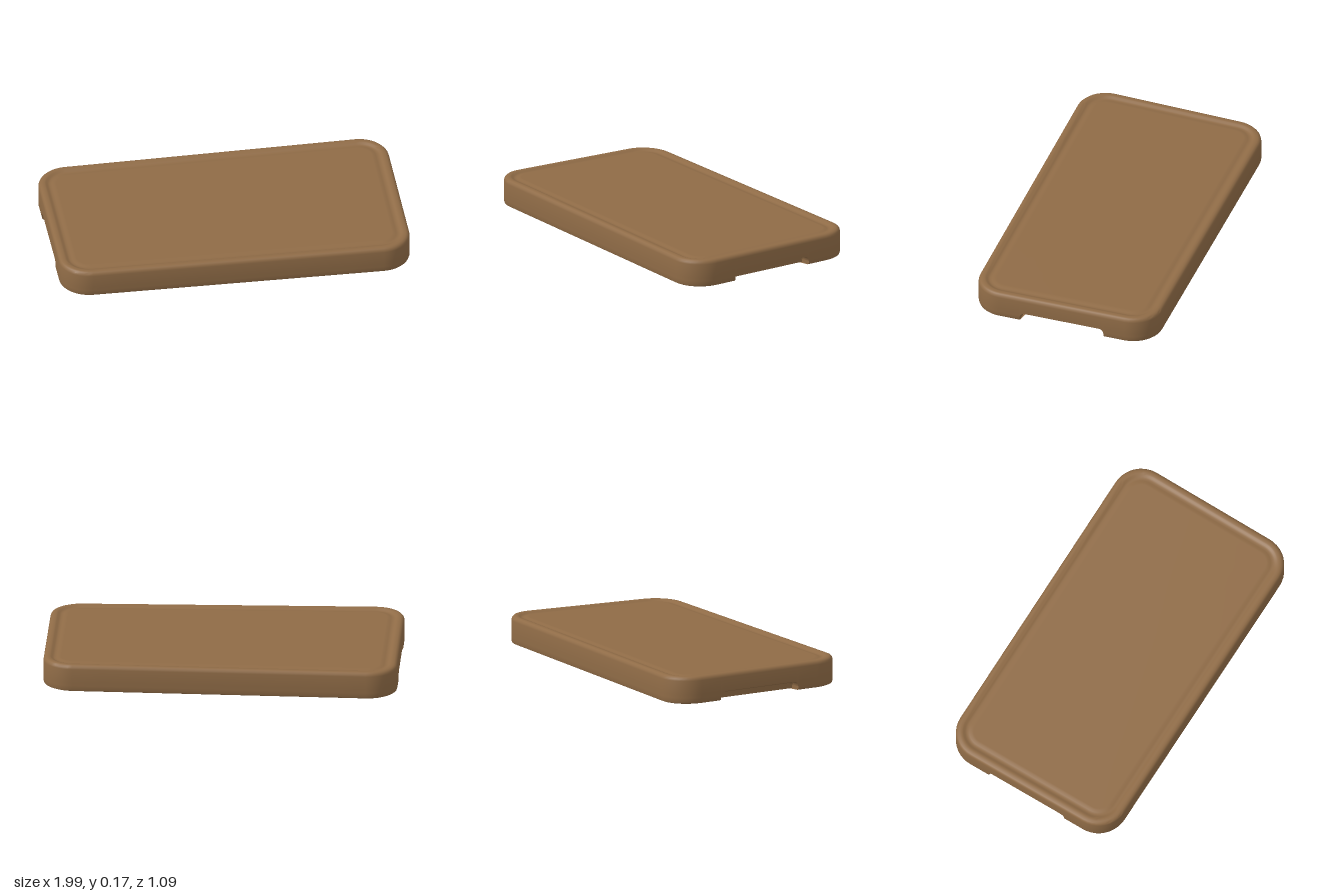
import * as THREE from 'three';
import { toCreasedNormals } from 'three/addons/utils/BufferGeometryUtils.js';

const HX = 0.997, HZ = 0.543, R = 0.17; // half sizes and corner radius
const NOTCH = 0.25, NOTCH_H = 0.052, NOTCH_R = 0.03; // finger notch half width, height, corner

// Slight twist of the wooden slab
const twist = (x, y, z) => [x, y + 0.012 - 0.015 * x * z, z];

// Notch ceiling height, rounded at both ends
function notchHeight(z) {
  const k = Math.max(0, NOTCH_R - (NOTCH - Math.abs(z)));
  return NOTCH_H - NOTCH_R + Math.sqrt(Math.max(0, NOTCH_R * NOTCH_R - k * k));
}

// Plan outline as columns: position, outward direction and notch height (0 = none)
function outline() {
  const half = [];
  const add = (x, z, nx, nz, h = 0) => half.push({ x, z, nx, nz, h });
  const corner = (sx, start) => {
    for (let i = 0; i <= 10; i++) {
      const a = start + (i / 10) * Math.PI / 2, c = Math.cos(a), s = Math.sin(a);
      add(sx * (HX - R) + R * c, HZ - R + R * s, c, s);
    }
  };
  add(HX, -NOTCH, 1, 0);
  for (const z of [-0.25, -0.247, -0.24, -0.23, -0.22, -0.11, 0, 0.11, 0.22, 0.23, 0.24, 0.247, 0.25])
    add(HX, z, 1, 0, notchHeight(z));
  add(HX, NOTCH, 1, 0);
  corner(1, 0);
  for (let i = 1; i < 10; i++) add((HX - R) * (1 - i / 5), HZ, 0, 1);
  corner(-1, Math.PI / 2);
  const other = half.map((p) => ({ x: -p.x, z: -p.z, nx: -p.nx, nz: -p.nz, h: p.h }));
  return [...half, ...other];
}

// Rows from the underside up over the rim and groove: inset, y, scale, notch inset, notch height share
const rows = [
  [0.012, 0, 0.001, 0.012, 0],
  [0.012, 0, 0.5, 0.07, 0],
  [0.012, 0, 1, 0.07, 0],
  [0.003, 0.004, 1, 0.07, 0.3],
  [0, 0.014, 1, 0.07, 0.6],
  [0, 0.035, 1, 0.055, 0.9],
  [0, NOTCH_H, 1, 0, 1],
  [0, 0.132], [0.003, 0.143], [0.01, 0.151], [0.02, 0.155], [0.034, 0.155], // side and rounded rim
  [0.043, 0.153], [0.051, 0.147], [0.063, 0.144], [0.076, 0.146], [0.088, 0.15], // juice groove
  [0.1, 0.15], [0.1, 0.15, 0.66], [0.1, 0.15, 0.33], [0.1, 0.15, 0.001], // cutting surface
];

function boardGeometry() {
  const cols = outline();
  const point = (c, [inset, y, scale = 1, nInset, share]) => {
    const notched = c.h > 0 && share !== undefined;
    const d = notched ? nInset : inset;
    return twist((c.x - c.nx * d) * scale, notched ? c.h * share : y, (c.z - c.nz * d) * scale);
  };
  const grid = rows.map((r) => cols.map((c) => new THREE.Vector3(...point(c, r))));
  const pos = [], t = new THREE.Triangle();
  const tri = (a, b, c) => {
    if (t.set(a, b, c).getArea() > 1e-9) for (const v of [a, b, c]) pos.push(v.x, v.y, v.z);
  };
  for (let r = 0; r < rows.length - 1; r++) {
    for (let i = 0; i < cols.length; i++) {
      const j = (i + 1) % cols.length;
      tri(grid[r][i], grid[r + 1][i], grid[r][j]);
      tri(grid[r][j], grid[r + 1][i], grid[r + 1][j]);
    }
  }
  const geo = new THREE.BufferGeometry();
  geo.setAttribute('position', new THREE.Float32BufferAttribute(pos, 3));
  return toCreasedNormals(geo, 0.7);
}

export function createModel() {
  const wood = new THREE.MeshStandardMaterial({ color: 0x8f6b46 });
  wood.name = 'wood';
  const board = new THREE.Mesh(boardGeometry(), wood);
  board.name = 'cuttingBoard';
  const group = new THREE.Group();
  group.name = 'groovedCuttingBoard';
  group.add(board);
  return group;
}
